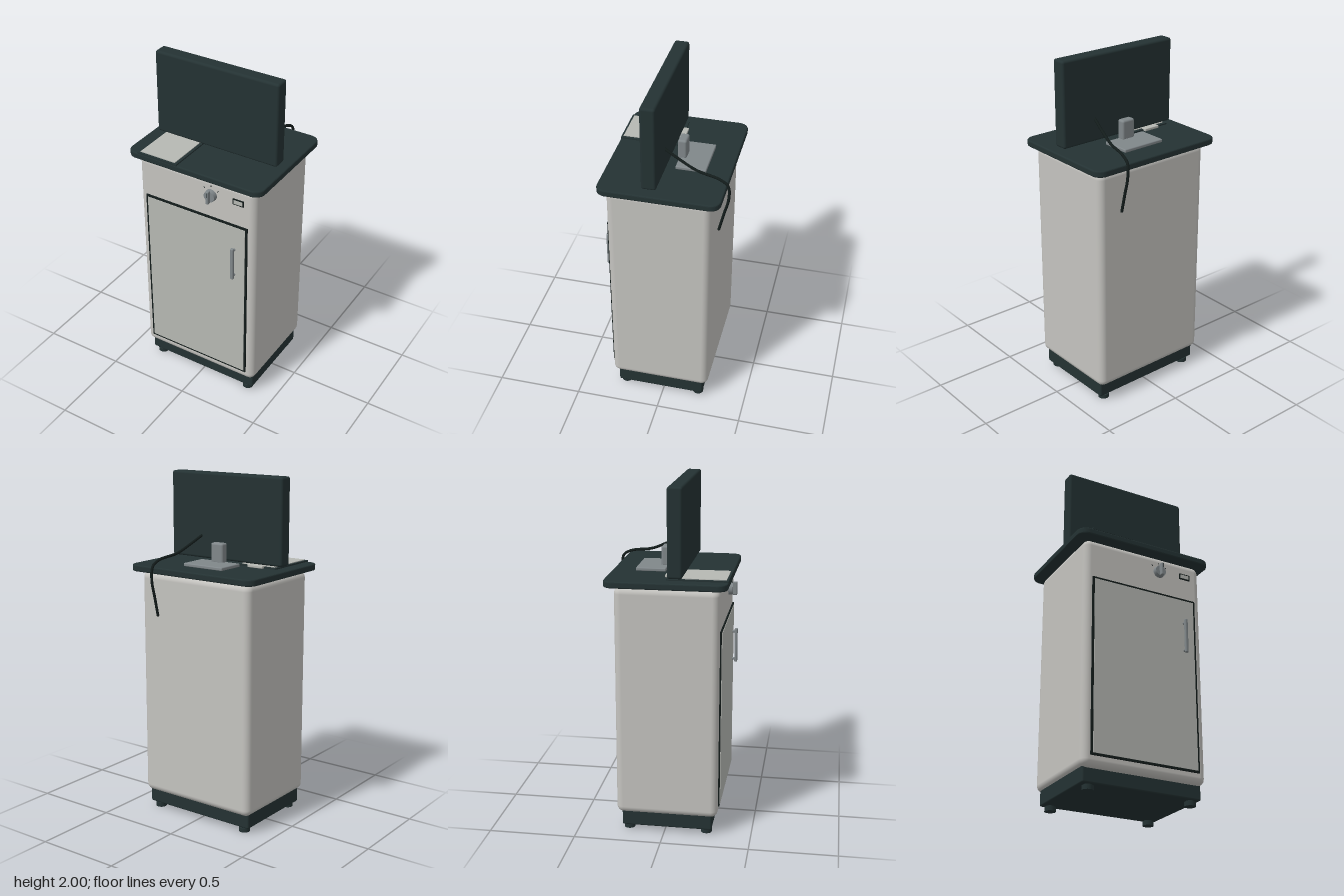
import * as THREE from 'three';
import { RoundedBoxGeometry } from 'three/addons/geometries/RoundedBoxGeometry.js';

const mat = (name, color) => {
  const m = new THREE.MeshStandardMaterial({ color });
  m.name = name;
  return m;
};

// Rectangle with rounded corners, centred on the origin
function roundedRect(w, h, r) {
  const s = new THREE.Shape();
  const x = w / 2 - r, y = h / 2 - r;
  s.absarc(x, y, r, 0, Math.PI / 2);
  s.absarc(-x, y, r, Math.PI / 2, Math.PI);
  s.absarc(-x, -y, r, Math.PI, Math.PI * 1.5);
  s.absarc(x, -y, r, Math.PI * 1.5, Math.PI * 2);
  s.closePath();
  return s;
}

export function createModel() {
  const model = new THREE.Group();
  model.name = 'cabinetWithMonitor';

  const shell = mat('warm light grey', 0xc4c3bf);
  const panel = mat('cool light grey', 0xb6b8b3);
  const dark = mat('dark slate', 0x243233);
  const black = mat('black trim', 0x131c1b);
  const metal = mat('metal grey', 0x80878a);

  const add = (name, geometry, material, x = 0, y = 0, z = 0, parent = model) => {
    const mesh = new THREE.Mesh(geometry, material);
    mesh.name = name;
    mesh.position.set(x, y, z);
    parent.add(mesh);
    return mesh;
  };
  // Box given by its limits on each axis, with optional rounding
  const span = (name, material, [x0, x1], [y0, y1], [z0, z1], r = 0, parent = model) => {
    const w = x1 - x0, h = y1 - y0, d = z1 - z0;
    const g = r ? new RoundedBoxGeometry(w, h, d, 4, r) : new THREE.BoxGeometry(w, h, d);
    return add(name, g, material, (x0 + x1) / 2, (y0 + y1) / 2, (z0 + z1) / 2, parent);
  };
  const group = (name) => {
    const g = new THREE.Group();
    g.name = name;
    model.add(g);
    return g;
  };

  // Plinth and feet
  span('plinth', dark, [-0.36, 0.36], [0.03, 0.13], [-0.245, 0.275], 0.01);
  for (const x of [-0.31, 0.31]) {
    for (const z of [-0.21, 0.24]) {
      add('foot', new THREE.CylinderGeometry(0.032, 0.032, 0.025, 24), dark, x, 0.0125, z);
      add('footStem', new THREE.CylinderGeometry(0.025, 0.025, 0.02, 24), dark, x, 0.03, z);
    }
  }

  // Cabinet body
  span('cabinetBody', shell, [-0.378, 0.378], [0.11, 1.45], [-0.277, 0.308], 0.04);

  // Worktop with rounded corners
  const top = new THREE.ExtrudeGeometry(roundedRect(0.838, 0.666, 0.05), {
    depth: 0.022, bevelEnabled: true, bevelThickness: 0.008, bevelSize: 0.008,
    bevelSegments: 3, curveSegments: 10,
  });
  top.rotateX(-Math.PI / 2);
  add('worktop', top, dark, 0, 1.461, 0.011);
  span('worktopSupport', dark, [-0.33, 0.33], [1.44, 1.458], [-0.23, 0.26]);

  // Door with dark surround
  const door = group('door');
  span('doorSurround', black, [-0.332, 0.332], [0.17, 1.21], [0.3, 0.316], 0, door);
  span('doorPanel', panel, [-0.32, 0.32], [0.182, 1.198], [0.31, 0.319], 0, door);

  // Door handle
  const handle = group('doorHandle');
  span('handleBar', metal, [0.244, 0.264], [0.86, 1.07], [0.332, 0.35], 0.007, handle);
  for (const y of [0.88, 1.05]) {
    const post = add('handlePost', new THREE.CylinderGeometry(0.008, 0.008, 0.028, 12), metal, 0.254, y, 0.328, handle);
    post.rotation.x = Math.PI / 2;
  }

  // Control knob
  const knob = group('controlKnob');
  knob.position.set(0.1, 1.35, 0.308);
  const base = add('knobBase', new THREE.CylinderGeometry(0.033, 0.036, 0.026, 32), metal, 0, 0, 0.012, knob);
  base.rotation.x = Math.PI / 2;
  span('knobGrip', metal, [-0.009, 0.009], [-0.036, 0.043], [0.02, 0.049], 0.006, knob);
  span('knobPointer', black, [-0.002, 0.002], [0.01, 0.036], [0.047, 0.0505], 0, knob);
  for (const a of [-0.9, 0, 0.9]) {
    const tick = add('dialTick', new THREE.BoxGeometry(0.003, 0.01, 0.003), black,
      Math.sin(a) * 0.056, Math.cos(a) * 0.056, 0.001, knob);
    tick.rotation.z = -a;
  }

  // Small indicator plate
  span('indicatorFrame', black, [0.238, 0.306], [1.342, 1.378], [0.303, 0.313]);
  span('indicatorFace', panel, [0.245, 0.299], [1.349, 1.371], [0.308, 0.316]);

  // Monitor and stand
  span('monitor', dark, [-0.385, 0.385], [1.506, 2], [0.021, 0.105], 0.014);
  const stand = group('monitorStand');
  span('standPlate', metal, [-0.136, 0.134], [1.489, 1.509], [-0.195, -0.023], 0.006, stand);
  span('standNeck', metal, [-0.043, 0.041], [1.5, 1.617], [-0.064, -0.014], 0.012, stand);

  // Clipboard with paper
  const board = group('clipboard');
  span('clipboardBack', dark, [-0.352, -0.096], [1.489, 1.499], [-0.012 + 0.024, 0.352], 0, board);
  span('paper', panel, [-0.337, -0.112], [1.497, 1.503], [0.03, 0.34], 0, board);
  span('clip', panel, [-0.275, -0.174], [1.49, 1.506], [-0.005, 0.045], 0.004, board);

  // Cable from the monitor over the back edge
  const path = new THREE.CatmullRomCurve3([
    [0.17, 1.637, 0.025], [0.19, 1.59, -0.07], [0.207, 1.552, -0.16], [0.23, 1.53, -0.29],
    [0.238, 1.5, -0.338], [0.242, 1.42, -0.345], [0.242, 1.32, -0.322], [0.242, 1.21, -0.296],
  ].map((p) => new THREE.Vector3(...p)));
  add('cable', new THREE.TubeGeometry(path, 48, 0.008, 10), black);
  for (const t of [0, 1]) {
    const p = path.getPoint(t);
    add('cableEnd', new THREE.SphereGeometry(0.008, 12, 8), black, p.x, p.y, p.z);
  }

  return model;
}
